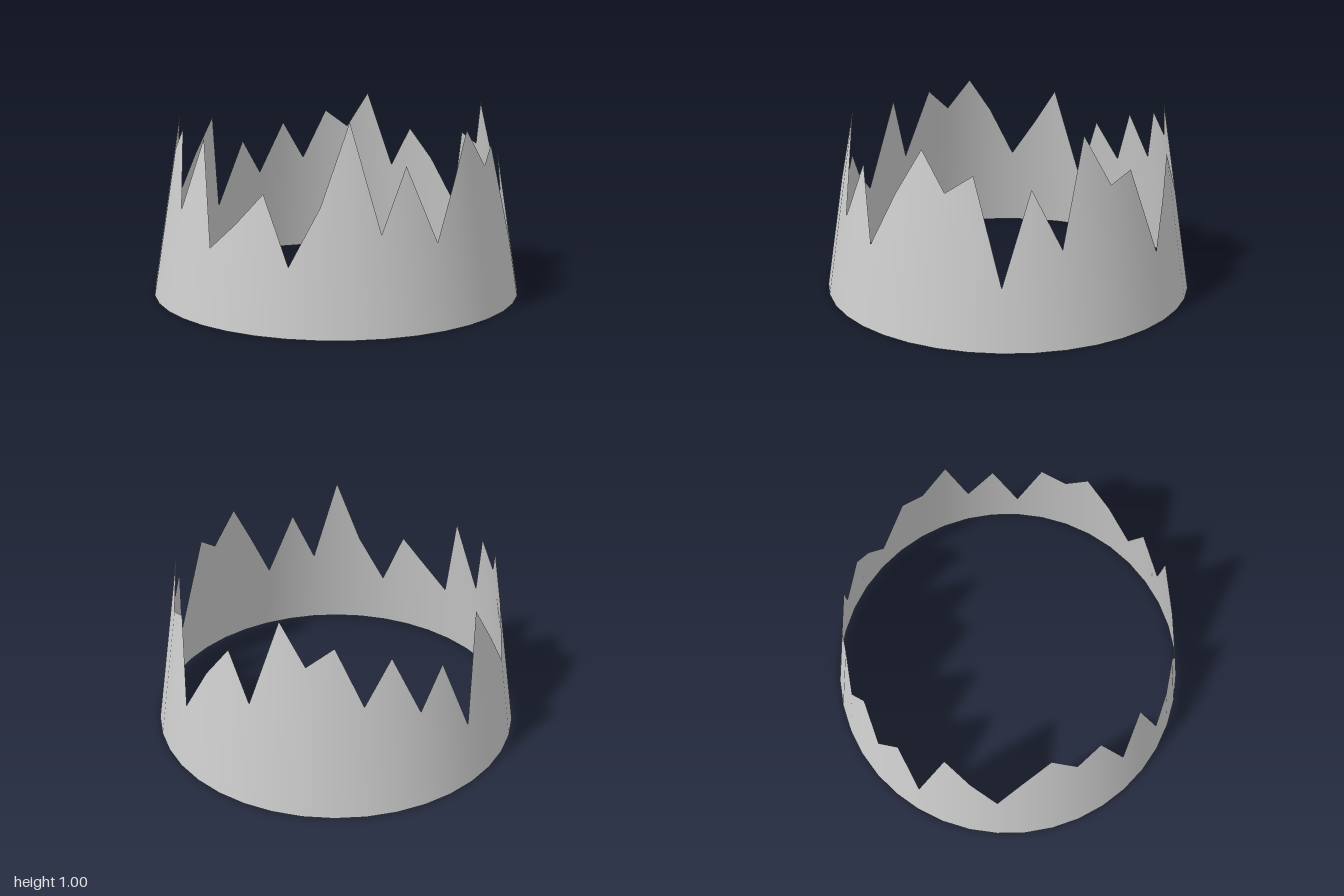
import * as THREE from 'three';

// Height of each rim point, every 9 degrees from the front (+z) towards +x
const RIM_HEIGHTS = [
  0.66, 0.33, 0.61, 1.0, 0.48, 0.79, 0.42, 0.70, 0.93, 0.74,
  0.83, 0.31, 0.77, 0.48, 1.0, 0.75, 0.80, 0.36, 0.61, 0.79,
  0.55, 1.0, 0.79, 0.89, 0.59, 0.82, 0.51, 0.72, 0.33, 0.89,
  0.68, 0.47, 0.76, 0.96, 0.79, 0.91, 0.52, 0.89, 0.375, 0.505,
];
const TAPER = 0.167; // radius lost per unit of height

export function createModel() {
  const group = new THREE.Group();
  group.name = 'jaggedCrown';

  // Open tapered band, one unit high, standing on the ground
  const sides = RIM_HEIGHTS.length;
  const geometry = new THREE.CylinderGeometry(1 - TAPER, 1, 1, sides, 1, true);
  geometry.translate(0, 0.5, 0);

  // Slide each rim point down the slope to its own height; the cone normals stay valid
  const pos = geometry.attributes.position;
  for (let i = 0; i <= sides; i++) {
    const h = RIM_HEIGHTS[i % sides];
    const r = 1 - TAPER * h;
    const a = (i / sides) * Math.PI * 2;
    pos.setXYZ(i, r * Math.sin(a), h, r * Math.cos(a));
  }

  const material = new THREE.MeshStandardMaterial({ color: 0xcccccc, side: THREE.DoubleSide });
  const band = new THREE.Mesh(geometry, material);
  band.name = 'jaggedBand';
  group.add(band);
  return group;
}
